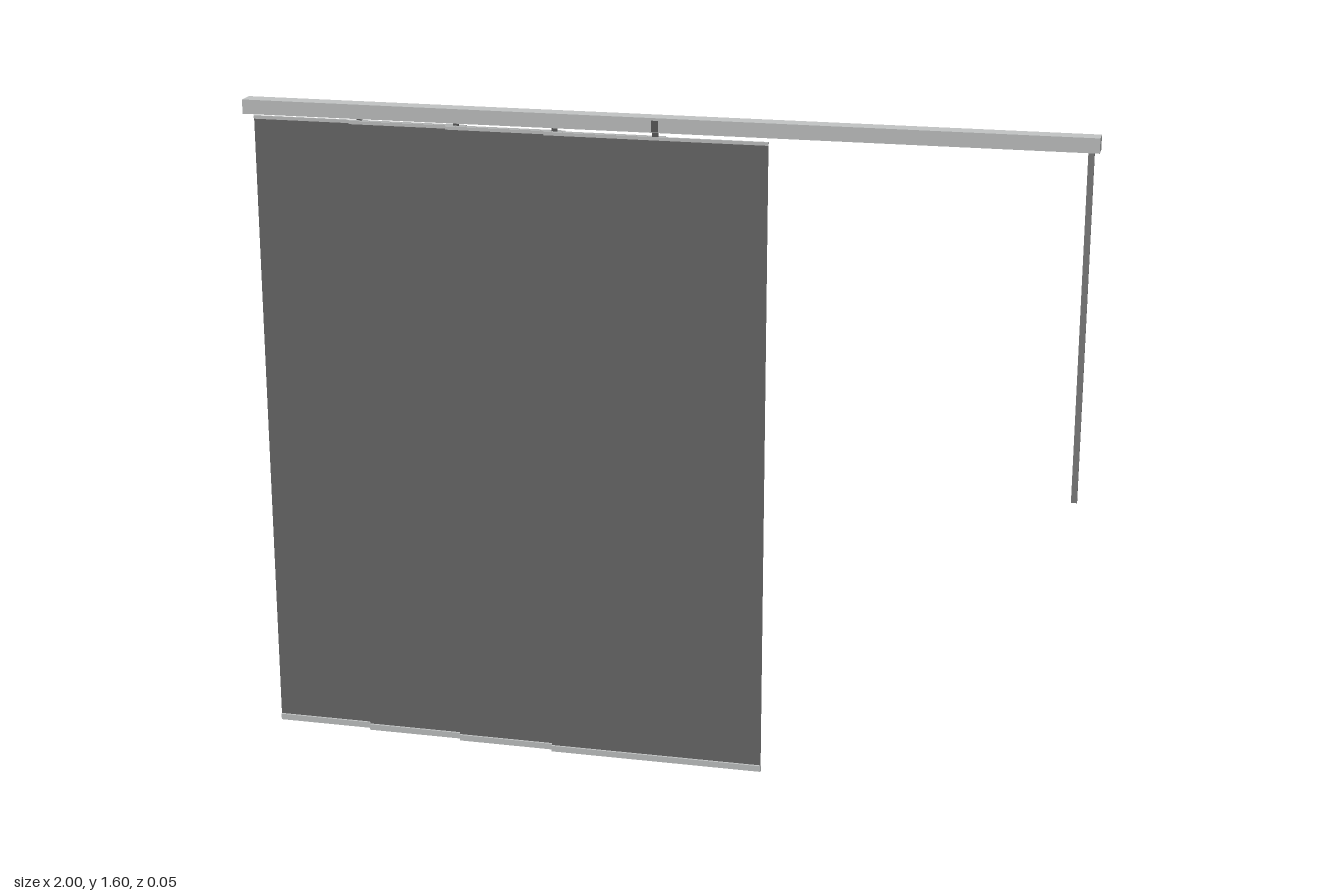
import * as THREE from 'three';

const mat = (name, color, side = THREE.FrontSide) => {
  const m = new THREE.MeshStandardMaterial({ color, side });
  m.name = name;
  return m;
};

export function createModel() {
  const aluminium = mat('light aluminium', 0xc2c4c4);
  const fabric = mat('grey fabric', 0x6a6a6a, THREE.DoubleSide);
  const wandGrey = mat('wand grey', 0x808080);
  const clipGrey = mat('clip grey', 0x5a5a5a);

  const model = new THREE.Group();
  model.name = 'panelBlind';

  const box = (parent, name, material, [w, h, d], [x, y, z]) => {
    const mesh = new THREE.Mesh(new THREE.BoxGeometry(w, h, d), material);
    mesh.name = name;
    mesh.position.set(x, y, z);
    parent.add(mesh);
    return mesh;
  };

  // Head rail: comb-shaped section with four tracks open below
  const zs = [-0.0165, -0.0055, 0.0055, 0.0165];
  const half = 0.022, wall = 0.0015, top = 1.597, bottom = 1.563, roof = 1.594;
  const section = new THREE.Shape();
  section.moveTo(-half, bottom);
  for (const z of zs) {
    const a = z - 0.0055 + wall / 2, b = z + 0.0055 - wall / 2;
    section.lineTo(a, bottom);
    section.lineTo(a, roof);
    section.lineTo(b, roof);
    section.lineTo(b, bottom);
  }
  section.lineTo(half, bottom);
  section.lineTo(half, top);
  section.lineTo(-half, top);
  section.closePath();
  const railGeometry = new THREE.ExtrudeGeometry(section, { depth: 1.994, bevelEnabled: false });
  railGeometry.translate(0, 0, -0.997);
  railGeometry.rotateY(-Math.PI / 2);
  // the quarter turn maps section x to +z, so the tracks keep their order
  const rail = new THREE.Mesh(railGeometry, aluminium);
  rail.name = 'headRail';
  model.add(rail);

  // End caps
  for (const s of [-1, 1]) {
    box(model, 'railEndCap', aluminium, [0.004, top - bottom, 2 * half], [s * 0.998, (top + bottom) / 2, 0]);
  }

  // Four overlapping sliding panels, stepping forward from right to left
  const width = 0.526;
  zs.forEach((z, i) => {
    const panel = new THREE.Group();
    panel.name = 'slidingPanel' + (i + 1);
    panel.position.set(-0.724 + i * 0.2402, 0, z);
    model.add(panel);

    const sheet = new THREE.Mesh(new THREE.PlaneGeometry(width, 1.53), fabric);
    sheet.name = 'fabricSheet';
    sheet.position.y = 0.781;
    panel.add(sheet);

    box(panel, 'topCarrier', aluminium, [width, 0.008, 0.005], [0, 1.549, 0]);
    box(panel, 'bottomBar', aluminium, [width, 0.015, 0.006], [0, 0.0075, 0]);
    box(panel, 'hanger', clipGrey, [0.014, 0.022, 0.004], [0, 1.562, 0]);
  });

  // Clip on the face of the rail above the front panel
  box(model, 'frontClip', clipGrey, [0.016, 0.026, 0.003], [-0.003, 1.578, half + 0.0012]);

  // Control wand behind the left end
  box(model, 'controlWand', wandGrey, [0.014, 0.827, 0.004], [0.979, 1.1485, -0.0255]);
  box(model, 'wandHook', wandGrey, [0.008, 0.012, 0.008], [0.979, 1.561, -0.022]);

  return model;
}
